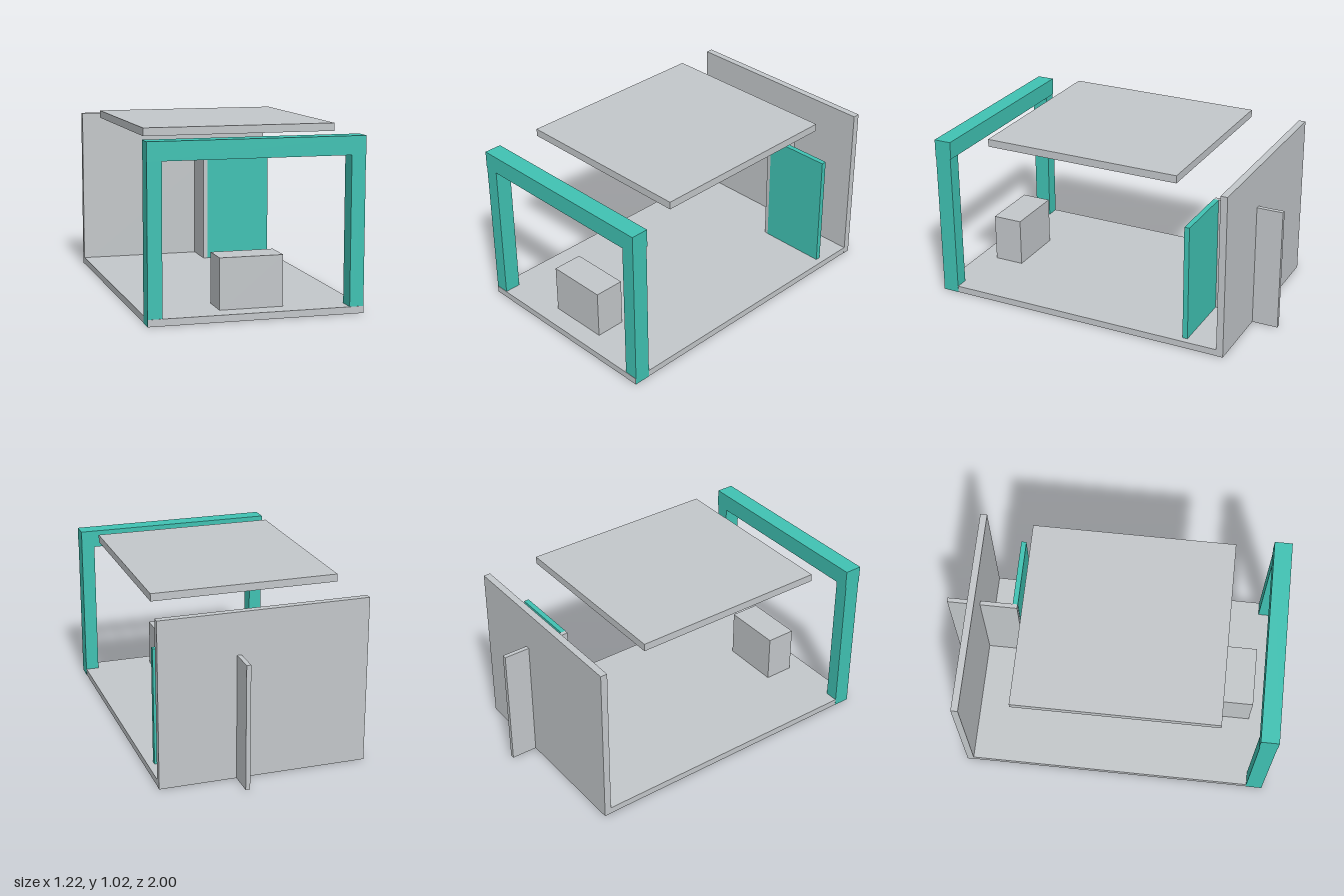
import * as THREE from 'three';

export function createModel() {
  const group = new THREE.Group();
  const mat = (name, color) => {
    const m = new THREE.MeshStandardMaterial({ color });
    m.name = name;
    return m;
  };
  const grey = mat('light grey', 0xc3c7ca);
  const teal = mat('teal', 0x40c2b3);

  // Box given by its extents along each axis
  const slab = (name, material, [x0, x1], [y0, y1], [z0, z1]) => {
    const mesh = new THREE.Mesh(new THREE.BoxGeometry(x1 - x0, y1 - y0, z1 - z0), material);
    mesh.position.set((x0 + x1) / 2, (y0 + y1) / 2, (z0 + z1) / 2);
    mesh.name = name;
    group.add(mesh);
  };

  // Floor, back wall and floating roof
  slab('floor', grey, [-0.61, 0.61], [0.0005, 0.04], [-0.843, 1]);
  slab('backWall', grey, [-0.611, 0.611], [0, 0.985], [-0.844, -0.803]);
  slab('roof', grey, [-0.553, 0.553], [0.98, 1.025], [-0.52, 0.67]);

  // Front portal: two posts and a lintel
  for (const [name, s] of [['leftPost', 1], ['rightPost', -1]]) {
    slab(name, teal, [0.53 * s, 0.611 * s].sort((a, b) => a - b), [0, 0.88], [0.9, 0.998]);
  }
  slab('lintel', teal, [-0.612, 0.612], [0.88, 0.985], [0.895, 1]);

  // Partition running through the back wall, with the door panel beside it
  slab('partition', grey, [0.136, 0.162], [0, 0.737], [-1, -0.581]);
  slab('doorPanel', teal, [0.162, 0.571], [0.002, 0.737], [-0.61, -0.579]);

  // Reception desk block
  slab('desk', grey, [-0.183, 0.18], [0.03, 0.33], [0.705, 0.886]);

  return group;
}
